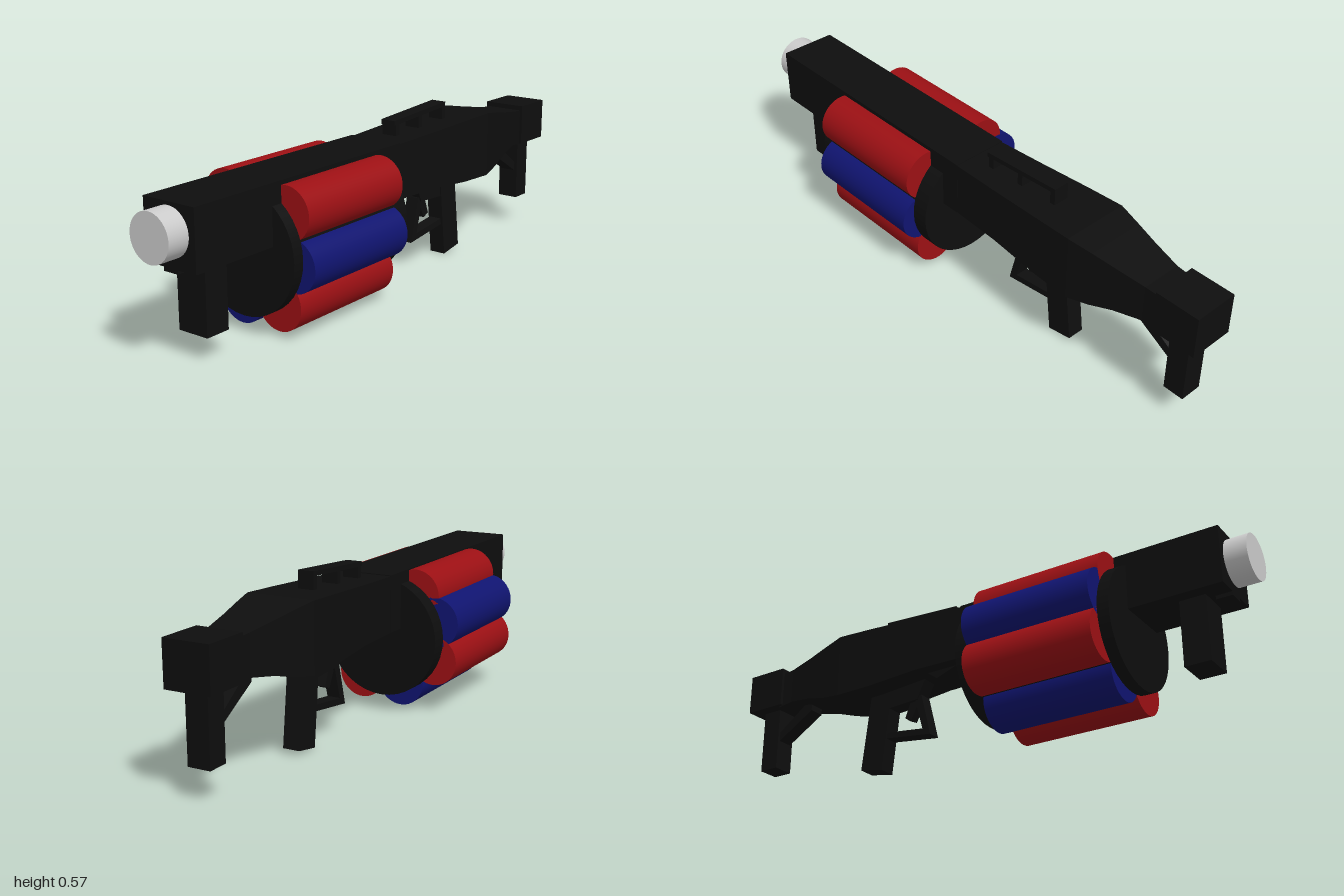
import * as THREE from 'three';

const CX = 0.028; // centre line of the body

const black = new THREE.MeshStandardMaterial({ color: 0x0e0e0e });
const red = new THREE.MeshStandardMaterial({ color: 0x9c1014 });
const blue = new THREE.MeshStandardMaterial({ color: 0x101470 });
const grey = new THREE.MeshStandardMaterial({ color: 0xcccccc });

export function createModel() {
  const model = new THREE.Group();

  const add = (name, geometry, material = black) => {
    const mesh = new THREE.Mesh(geometry, material);
    mesh.name = name;
    model.add(mesh);
    return mesh;
  };

  // Box given by its limits on each axis
  const box = (name, x0, x1, y0, y1, z0, z1) =>
    add(name, new THREE.BoxGeometry(x1 - x0, y1 - y0, z1 - z0)
      .translate((x0 + x1) / 2, (y0 + y1) / 2, (z0 + z1) / 2));

  // Side profile of [z, y] points, extruded across x
  const plate = (name, points, x0, x1) => {
    const shape = new THREE.Shape(points.map(([z, y]) => new THREE.Vector2(-z, y)));
    const geometry = new THREE.ExtrudeGeometry(shape, { depth: x1 - x0, bevelEnabled: false });
    return add(name, geometry.rotateY(Math.PI / 2).translate(x0, 0, 0));
  };

  // Cylinder lying along z
  const rod = (name, x, y, r, z0, z1, material, sides = 48) =>
    add(name, new THREE.CylinderGeometry(r, r, z1 - z0, sides)
      .rotateX(Math.PI / 2).translate(x, y, (z0 + z1) / 2), material);

  // Barrel housing and muzzle
  box('barrelHousing', -0.072, 0.128, 0.305, 0.5, -0.02, 0.925);
  rod('muzzle', CX, 0.412, 0.077, 0.9, 1, grey);
  box('frontLug', 0, 0.056, 0.292, 0.31, 0.87, 0.925);

  // Drum with the shells let into its rim
  rod('drum', 0.003, 0.267, 0.206, 0.05, 0.61, black, 40);
  const shells = [
    [-0.098, 0.413, red], [-0.17, 0.323, blue], [-0.165, 0.19, red], [-0.041, 0.102, blue],
    [0.111, 0.11, red], [0.168, 0.243, blue], [0.147, 0.401, red],
  ];
  shells.forEach(([x, y, material], i) => rod(`shell${i + 1}`, x, y, 0.087, 0.11, 0.57, material));

  // Receiver and stock: a box whose rings follow [z, half width, bottom, top]
  const rings = [
    [-0.86, 0.067, 0.335, 0.468], [-0.8, 0.07, 0.342, 0.472], [-0.7, 0.087, 0.325, 0.488],
    [-0.62, 0.102, 0.302, 0.503], [-0.535, 0.118, 0.287, 0.517], [-0.4, 0.114, 0.29, 0.512],
    [-0.2, 0.106, 0.305, 0.503], [0, 0.098, 0.305, 0.496],
  ];
  const last = rings.length - 1;
  const body = new THREE.BoxGeometry(1, 1, last, 1, 1, last);
  const p = body.attributes.position;
  for (let i = 0; i < p.count; i++) {
    const [z, half, bottom, top] = rings[Math.round(p.getZ(i) + last / 2)];
    p.setXYZ(i, CX + 2 * half * p.getX(i), p.getY(i) < 0 ? bottom : top, z);
  }
  const flatBody = body.toNonIndexed();
  flatBody.computeVertexNormals();
  add('receiver', flatBody);
  plate('magazineCatch', [[-0.05, 0.31], [-0.145, 0.277], [-0.19, 0.31]], -0.03, 0.085);

  // Butt with its leg and brace
  box('butt', -0.052, 0.105, 0.34, 0.486, -1, -0.845);
  box('rearLeg', -0.01, 0.067, 0.11, 0.35, -0.957, -0.884);
  plate('rearBrace', [[-0.735, 0.335], [-0.735, 0.308], [-0.89, 0.215], [-0.89, 0.248], [-0.77, 0.335]], 0, 0.056);

  // Grips
  box('frontGrip', -0.028, 0.085, 0.084, 0.31, 0.762, 0.85);
  plate('rearGrip', [[-0.36, 0.31], [-0.395, 0.004], [-0.486, 0.02], [-0.45, 0.31]], 0, 0.06);

  // Trigger group
  plate('triggerHousing', [[-0.215, 0.31], [-0.25, 0.235], [-0.38, 0.228], [-0.38, 0.31]], 0, 0.056);
  plate('triggerGuard', [
    [-0.235, 0.25], [-0.195, 0.095], [-0.39, 0.12], [-0.39, 0.142], [-0.228, 0.122], [-0.265, 0.25],
  ], 0.005, 0.052);
  plate('trigger', [[-0.245, 0.24], [-0.282, 0.168], [-0.308, 0.18], [-0.285, 0.24]], 0.012, 0.045);

  // Sight rail on three posts
  plate('sightRail', [[-0.088, 0.536], [-0.088, 0.552], [-0.39, 0.571], [-0.39, 0.555]], 0, 0.056);
  for (const [z, y] of [[-0.105, 0.545], [-0.237, 0.555], [-0.38, 0.562]]) {
    box('sightPost', 0, 0.056, 0.48, y, z - 0.01, z + 0.01);
  }

  return model;
}
